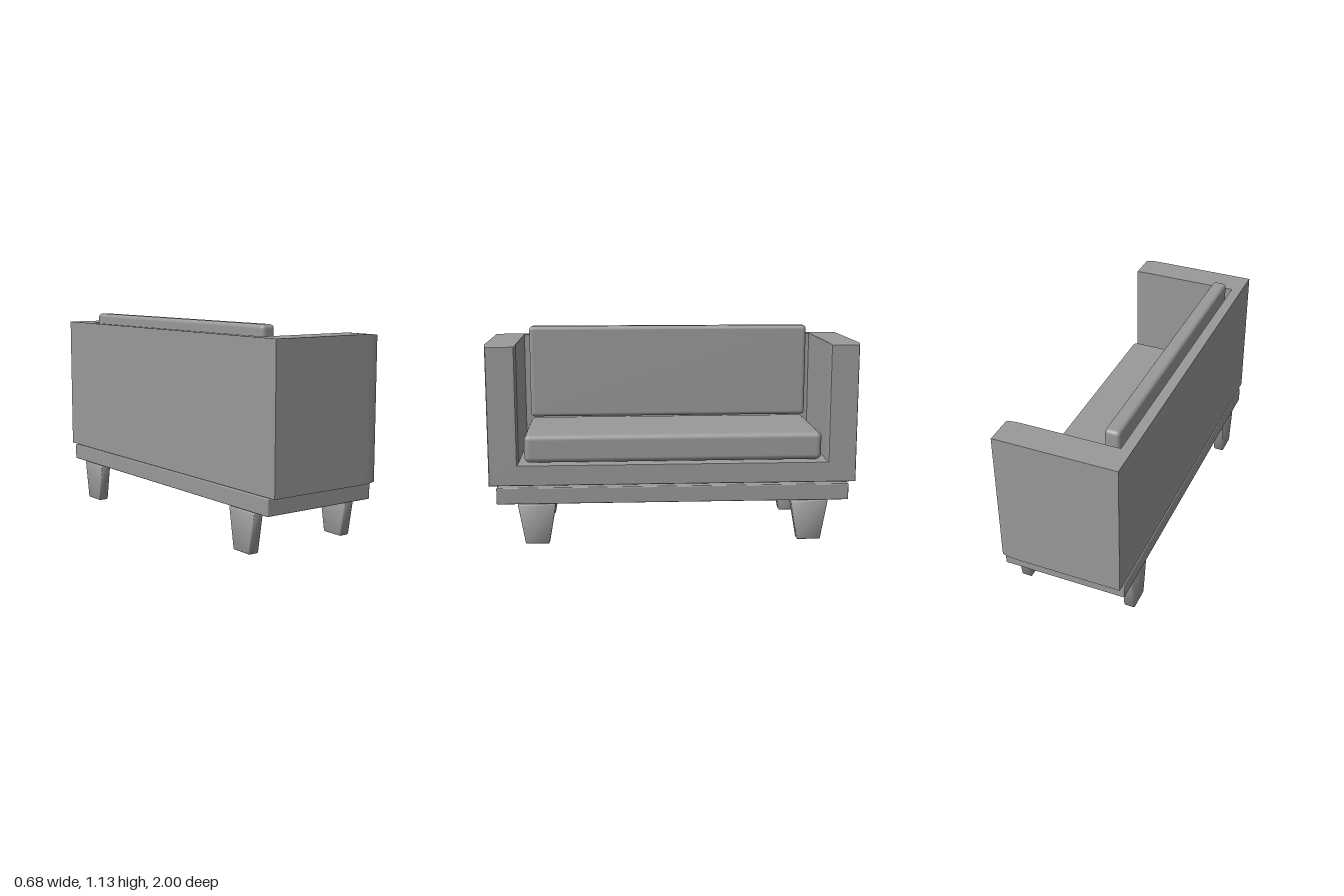
import * as THREE from 'three';
import { toCreasedNormals } from 'three/addons/utils/BufferGeometryUtils.js';
import { RoundedBoxGeometry } from 'three/addons/geometries/RoundedBoxGeometry.js';

export function createModel() {
  const sofa = new THREE.Group();
  sofa.name = 'sofa';
  const grey = new THREE.MeshStandardMaterial({ color: 0x999999 });
  grey.name = 'plain grey';

  const add = (name, geometry) => {
    const mesh = new THREE.Mesh(geometry, grey);
    mesh.name = name;
    sofa.add(mesh);
    return mesh;
  };

  // Rounded block given by its limits on each axis
  const block = (name, [x0, x1], [y0, y1], [z0, z1], radius) => {
    const geometry = new RoundedBoxGeometry(x1 - x0, y1 - y0, z1 - z0, 4, radius);
    geometry.translate((x0 + x1) / 2, (y0 + y1) / 2, (z0 + z1) / 2);
    return add(name, geometry);
  };

  // Arms and seat deck: a U profile run from back to front, softened at the front only
  const bottom = 0.315, top = 1.077, deck = 0.44, inner = 0.835, back = -0.335;
  const profile = new THREE.Shape([
    [-1, bottom], [1, bottom], [1, top], [inner, top],
    [inner, deck], [-inner, deck], [-inner, top], [-1, top],
  ].map(([x, y]) => new THREE.Vector2(x, y)));
  const shell = new THREE.ExtrudeGeometry(profile, {
    depth: 0.585, bevelThickness: 0.08, bevelSize: 0.009, bevelOffset: -0.009, bevelSegments: 6,
  });
  const p = shell.attributes.position;
  for (let i = 0; i < p.count; i++) p.setZ(i, Math.max(0, p.getZ(i)));
  shell.rotateY(Math.PI / 2).translate(back, 0, 0);
  add('armsAndSeatDeck', toCreasedNormals(shell, 0.5));

  // Back panel between the arms
  const panel = new THREE.BoxGeometry(0.057, top - deck, inner * 2);
  panel.translate(back + 0.0285, (top + deck) / 2, 0);
  add('backPanel', panel);

  // Plinth and cushions
  block('plinth', [-0.34, 0.338], [0.222, 0.312], [-0.955, 0.955], 0.006);
  block('seatCushion', [-0.257, 0.334], [0.445, 0.597], [-0.803, 0.803], 0.03);
  block('backCushion', [-0.255, -0.174], [0.608, 1.132], [-0.8, 0.8], 0.022);

  // Legs taper towards the floor along the sofa's length
  for (const x of [-0.304, 0.308]) {
    for (const z of [-0.74, 0.74]) {
      const leg = new RoundedBoxGeometry(0.06, 0.22, 0.206, 3, 0.008);
      const q = leg.attributes.position;
      for (let i = 0; i < q.count; i++) {
        q.setZ(i, q.getZ(i) * THREE.MathUtils.mapLinear(q.getY(i), -0.11, 0.11, 0.62, 1));
      }
      add('leg', toCreasedNormals(leg, 0.7)).position.set(x, 0.11, z);
    }
  }
  return sofa;
}
